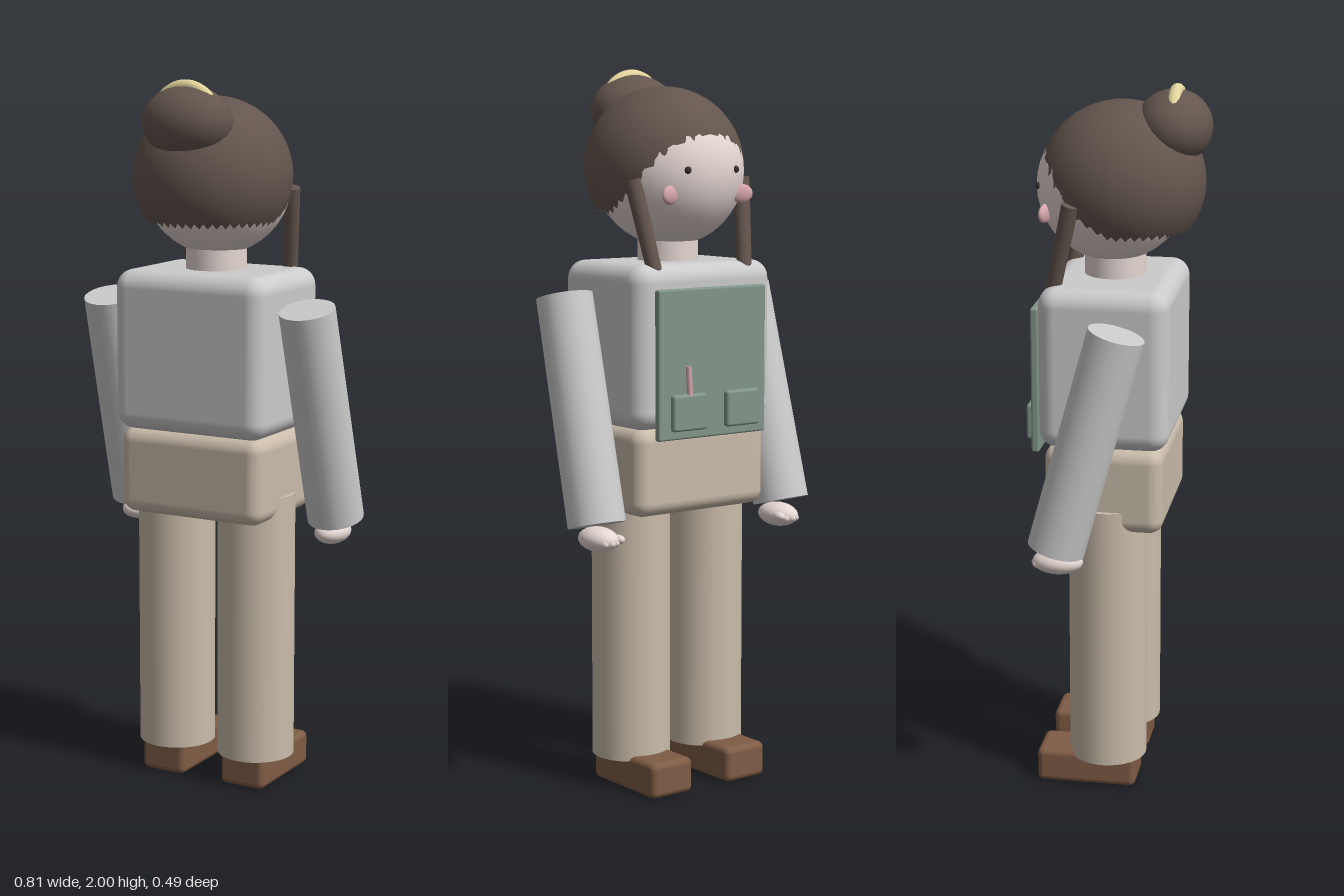
import * as THREE from 'three';
import { RoundedBoxGeometry } from 'three/addons/geometries/RoundedBoxGeometry.js';

const mat = (color) => new THREE.MeshStandardMaterial({ color });
const M = {
  hair: mat(0x64564e), skin: mat(0xe6d8d4), shirt: mat(0xe6e6e3), sleeve: mat(0xcccccc),
  trousers: mat(0xcabcab), green: mat(0x82968a), shoe: mat(0x7f5c45), pink: mat(0xd6a6ac),
  eye: mat(0x3a2f2b), gold: mat(0xe2d49c),
};
M.hair.side = THREE.DoubleSide;

export function createModel() {
  const model = new THREE.Group();

  const add = (name, geometry, material, x, y, z) => {
    const mesh = new THREE.Mesh(geometry, material);
    mesh.name = name;
    mesh.position.set(x, y, z);
    model.add(mesh);
    return mesh;
  };
  const box = (name, m, w, h, d, r, x, y, z) =>
    add(name, new RoundedBoxGeometry(w, h, d, 4, r), m, x, y, z);
  const ball = (name, m, rx, ry, rz, x, y, z) =>
    add(name, new THREE.SphereGeometry(1, 32, 20).scale(rx, ry, rz), m, x, y, z);
  // Cylinder running between two points
  const rod = (name, m, a, b, ra, rb, sides = 24) => {
    const from = new THREE.Vector3(...a), to = new THREE.Vector3(...b);
    const dir = to.clone().sub(from);
    const mid = from.clone().add(to).multiplyScalar(0.5);
    const mesh = add(name, new THREE.CylinderGeometry(rb, ra, dir.length(), sides), m, mid.x, mid.y, mid.z);
    mesh.quaternion.setFromUnitVectors(new THREE.Vector3(0, 1, 0), dir.normalize());
    return mesh;
  };

  // Body
  box('torso', M.shirt, 0.475, 0.45, 0.36, 0.05, 0, 1.25, -0.02);
  box('hips', M.trousers, 0.45, 0.245, 0.33, 0.04, 0, 0.907, -0.02);
  rod('neck', M.skin, [0, 1.44, -0.02], [0, 1.58, -0.02], 0.085, 0.085);

  // Head and hair cap, whose rim is level behind and lifts over the forehead
  ball('head', M.skin, 0.208, 0.208, 0.21, 0, 1.721, -0.025);
  const cap = new THREE.SphereGeometry(1, 48, 28);
  const p = cap.attributes.position, uv = cap.attributes.uv;
  for (let i = 0; i < p.count; i++) {
    const phi = uv.getX(i) * Math.PI * 2;
    const front = Math.max(0, -Math.sin(phi));
    const theta = (1 - uv.getY(i)) * (2.2 - 0.85 * Math.pow(front, 1.3));
    p.setXYZ(i, -0.22 * Math.cos(phi) * Math.sin(theta), 0.22 * Math.cos(theta),
      0.228 * Math.sin(phi) * Math.sin(theta));
  }
  cap.computeVertexNormals();
  add('hairCap', cap, M.hair, 0, 1.732, 0);
  ball('hairBun', M.hair, 0.13, 0.1, 0.105, 0, 1.885, 0.14);

  // Half ring over the bun
  add('bunBand', new THREE.TorusGeometry(0.092, 0.018, 12, 32, Math.PI), M.gold, 0, 1.89, 0.147);

  // Bib with two pockets and a pen
  box('bib', M.green, 0.37, 0.41, 0.022, 0.006, 0, 1.205, -0.214);
  for (const s of [1, -1]) box('bibPocket', M.green, 0.115, 0.1, 0.022, 0.008, s * 0.092, 1.075, -0.235);
  rod('pen', M.pink, [0.088, 1.08, -0.238], [0.095, 1.2, -0.238], 0.008, 0.008, 12);

  // Paired parts
  for (const s of [1, -1]) {
    const side = s > 0 ? 'left' : 'right';
    ball(side + 'Eye', M.eye, 0.01, 0.01, 0.008, s * 0.082, 1.727, -0.217);
    ball(side + 'Cheek', M.pink, 0.033, 0.026, 0.012, s * 0.123, 1.66, -0.192).rotation.y = s * 0.3;
    rod(side + 'HairLock', M.hair, [s * 0.155, 1.45, -0.167], [s * 0.188, 1.7, -0.11], 0.021, 0.024, 16);

    rod(side + 'Sleeve', M.sleeve, [s * 0.325, 0.775, -0.13], [s * 0.313, 1.385, 0.035], 0.08, 0.078);
    ball(side + 'Hand', M.skin, 0.047, 0.034, 0.07, s * 0.318, 0.735, -0.127);
    ball(side + 'Thumb', M.skin, 0.014, 0.013, 0.022, s * 0.283, 0.737, -0.172);
    for (const k of [-1, 0, 1])
      ball(side + 'Finger', M.skin, 0.011, 0.012, 0.018, s * 0.318 + k * 0.018, 0.73, -0.182 + Math.abs(k) * 0.006);

    rod(side + 'Leg', M.trousers, [s * 0.13, 0.085, -0.02], [s * 0.13, 0.85, -0.02], 0.11, 0.11, 32);
    box(side + 'Shoe', M.shoe, 0.14, 0.1, 0.285, 0.018, s * 0.13, 0.05, -0.075);
  }
  return model;
}
